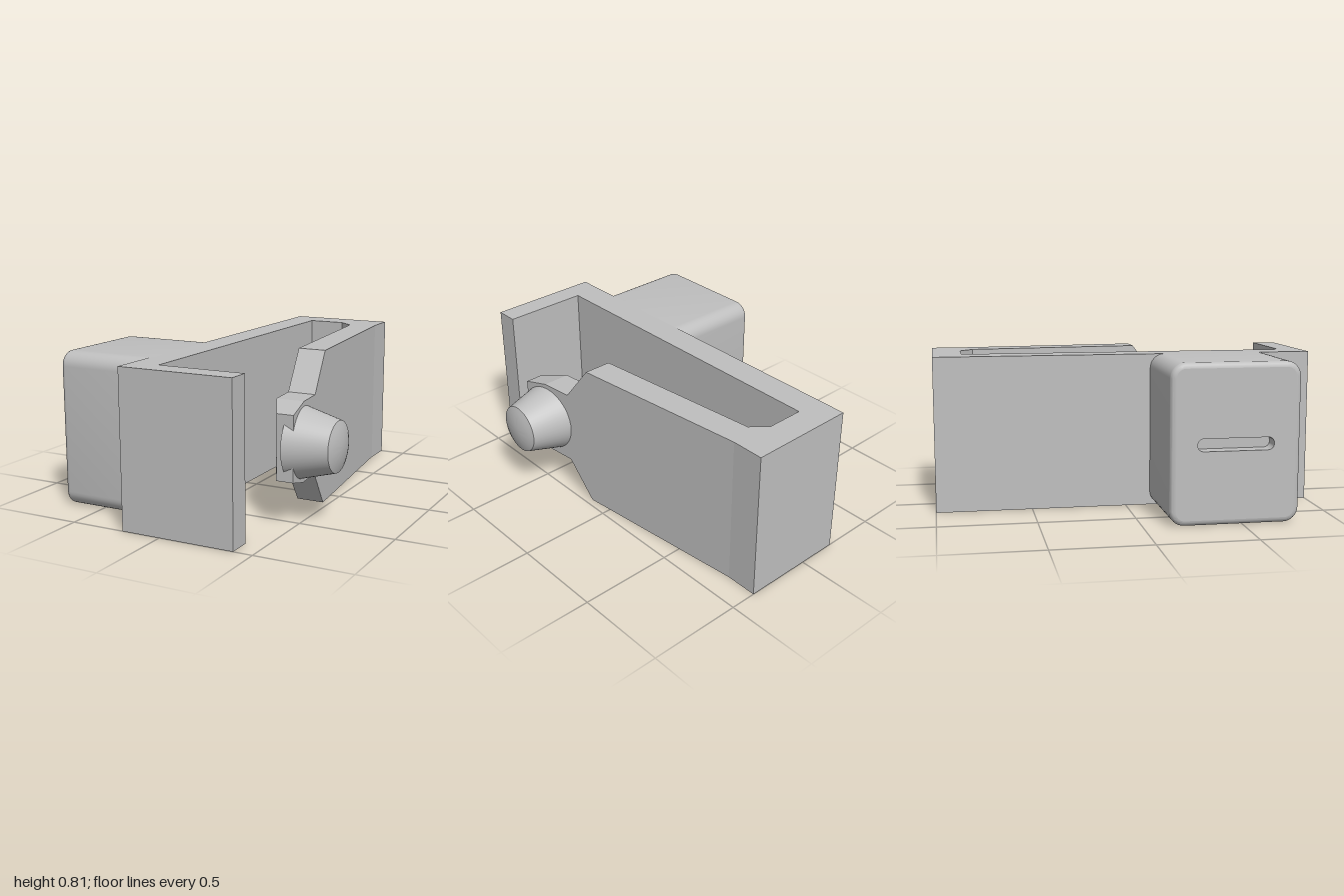
import * as THREE from 'three';
import { toCreasedNormals } from 'three/addons/utils/BufferGeometryUtils.js';

const HEIGHT = 0.81, MID = HEIGHT / 2;

// Skin between matching rings of [x, y, z] points (counter-clockwise seen from the last ring)
function loft(rings, capEnd = false) {
  const pos = [];
  const n = rings[0].length;
  for (let k = 0; k < rings.length - 1; k++) {
    const a = rings[k], b = rings[k + 1];
    for (let i = 0; i < n; i++) {
      const j = (i + 1) % n;
      pos.push(...a[i], ...a[j], ...b[j], ...a[i], ...b[j], ...b[i]);
    }
  }
  if (capEnd) {
    const e = rings[rings.length - 1];
    for (let i = 1; i < n - 1; i++) pos.push(...e[0], ...e[i], ...e[i + 1]);
  }
  const g = new THREE.BufferGeometry();
  g.setAttribute('position', new THREE.Float32BufferAttribute(pos, 3));
  g.computeVertexNormals();
  return toCreasedNormals(g, 0.6);
}

// Rounded rectangle ring at depth z
function roundedRing(halfW, halfH, r, z, steps = 8) {
  const pts = [];
  [[1, 1], [-1, 1], [-1, -1], [1, -1]].forEach(([sx, sy], q) => {
    for (let i = 0; i <= steps; i++) {
      const a = (q + i / steps) * Math.PI / 2;
      pts.push([sx * (halfW - r) + r * Math.cos(a), sy * (halfH - r) + r * Math.sin(a), z]);
    }
  });
  return pts;
}

const toVec2 = ring => ring.map(([x, y]) => new THREE.Vector2(x, y));

export function createModel() {
  const model = new THREE.Group();
  model.name = 'clip';
  const grey = new THREE.MeshStandardMaterial({ color: 0xbfbfbf });
  grey.name = 'grey';
  const add = (name, geometry, parent = model) => {
    const mesh = new THREE.Mesh(geometry, grey);
    mesh.name = name;
    parent.add(mesh);
    return mesh;
  };

  // Hook-shaped frame: plan outline in x, z, raised to full height
  const outline = [
    [-0.21, -1], [0.36, -1], [0.36, -0.83], [0.464, 0.135], [0.316, 0.135], [0.22, -0.78],
    [0.14, -0.85], [-0.06, -0.85], [-0.06, 0.88], [0.4, 0.88], [0.4, 1], [-0.21, 1],
  ].map(([x, z]) => new THREE.Vector2(x, -z));
  const frame = new THREE.ExtrudeGeometry(new THREE.Shape(outline), { depth: HEIGHT, bevelEnabled: false });
  add('frame', frame.rotateX(-Math.PI / 2));

  // Tapered end of the spring arm: z, inner x, outer x, half height
  const tip = [
    [0.135, 0.316, 0.464, MID], [0.29, 0.332, 0.481, 0.205],
    [0.46, 0.35, 0.499, 0.205], [0.61, 0.425, 0.515, 0.167],
  ].map(([z, xi, xo, h]) => [[xi, MID - h, z], [xo, MID - h, z], [xo, MID + h, z], [xi, MID + h, z]]);
  const tipGeometry = loft(tip, true).toNonIndexed();
  tipGeometry.computeVertexNormals();
  add('armTip', tipGeometry);

  // Conical button with a shallow domed end
  const profile = [[0, 0], [0.19, 0], [0.13, 0.22], [0.1, 0.231], [0.065, 0.239], [0.03, 0.244], [0, 0.245]]
    .map(([r, y]) => new THREE.Vector2(r, y));
  const button = toCreasedNormals(new THREE.LatheGeometry(profile, 48), 0.5);
  add('button', button.rotateZ(-Math.PI / 2)).position.set(0.465, MID, 0.46);

  // Rounded housing, built along +z and turned to face -x
  const housing = new THREE.Group();
  housing.name = 'housing';
  housing.position.set(-0.2, MID, 0.46);
  housing.rotation.y = -Math.PI / 2;
  model.add(housing);
  const W = 0.33, R = 0.075, F = 0.028, D = 0.51;
  const rings = [roundedRing(W, MID, R, 0)];
  for (let i = 0; i <= 5; i++) {
    const a = (i / 5) * Math.PI / 2, inset = F * (1 - Math.cos(a));
    rings.push(roundedRing(W - inset, MID - inset, R - inset, D - F + F * Math.sin(a)));
  }
  add('housingShell', loft(rings), housing);

  // End face with a slot, its walls and its floor
  const slotRing = z => roundedRing(0.195, 0.032, 0.0315, z, 6);
  const face = new THREE.Shape(toVec2(rings[rings.length - 1]));
  face.holes.push(new THREE.Path(toVec2(slotRing(0))));
  add('housingFace', new THREE.ShapeGeometry(face).translate(0, 0, D), housing);
  add('slotWalls', loft([slotRing(D), slotRing(D - 0.08)]), housing);
  add('slotFloor', new THREE.ShapeGeometry(new THREE.Shape(toVec2(slotRing(0)))).translate(0, 0, D - 0.08), housing);

  return model;
}
